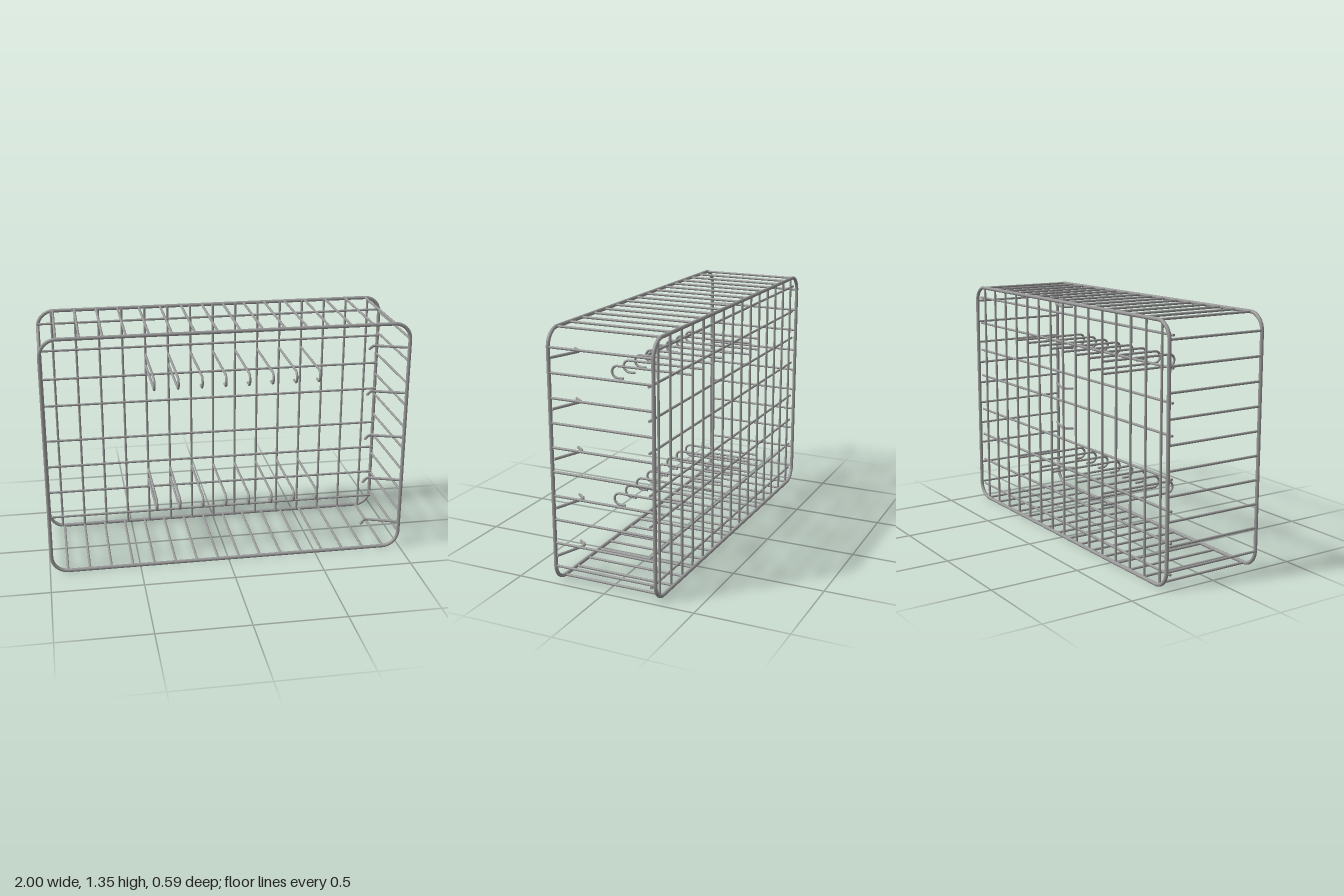
import * as THREE from 'three';

const HALF_W = 0.989, TOP = 1.338, BOTTOM = 0.011, DEPTH = 0.286, CORNER = 0.09;
const FRAME_R = 0.01, WIRE_R = 0.0067;
const UP = new THREE.Vector3(0, 1, 0);

export function createModel() {
  const model = new THREE.Group();
  model.name = 'wireBasket';
  const steel = new THREE.MeshStandardMaterial({ color: 0x999999 });
  steel.name = 'grey steel';

  const add = (parent, geometry, name) => {
    const mesh = new THREE.Mesh(geometry, steel);
    mesh.name = name;
    parent.add(mesh);
    return mesh;
  };

  const group = (name) => {
    const g = new THREE.Group();
    g.name = name;
    model.add(g);
    return g;
  };

  // Straight round wire between two points
  const wire = (parent, name, a, b, radius = WIRE_R) => {
    const p = new THREE.Vector3(...a), q = new THREE.Vector3(...b);
    const dir = q.clone().sub(p);
    const mesh = add(parent, new THREE.CylinderGeometry(radius, radius, dir.length(), 12), name);
    mesh.position.copy(p).add(q).multiplyScalar(0.5);
    mesh.quaternion.setFromUnitVectors(UP, dir.normalize());
  };

  // Front and back rounded rectangular frames
  for (const [name, z] of [['frontFrame', DEPTH], ['backFrame', -DEPTH]]) {
    const frame = group(name);
    const x = HALF_W - CORNER, y0 = BOTTOM + CORNER, y1 = TOP - CORNER;
    for (const y of [BOTTOM, TOP]) wire(frame, 'frameRail', [-x, y, z], [x, y, z], FRAME_R);
    for (const s of [-1, 1]) wire(frame, 'framePost', [s * HALF_W, y0, z], [s * HALF_W, y1, z], FRAME_R);
    [[x, y1], [-x, y1], [-x, y0], [x, y0]].forEach(([cx, cy], i) => {
      const bend = add(frame, new THREE.TorusGeometry(CORNER, FRAME_R, 12, 12, Math.PI / 2), 'frameCorner');
      bend.position.set(cx, cy, z);
      bend.rotation.z = i * Math.PI / 2;
    });
  }

  // Depth wires of the top and bottom panels
  const topPanel = group('topPanel'), bottomPanel = group('bottomPanel');
  for (let i = 0; i < 16; i++) {
    const x = -0.902 + i * 0.1203;
    wire(topPanel, 'topWire', [x, TOP, -DEPTH], [x, TOP, DEPTH]);
    wire(bottomPanel, 'bottomWire', [x, BOTTOM, -DEPTH], [x, BOTTOM, DEPTH]);
  }

  // Depth wires of both side panels
  for (const [name, s] of [['leftPanel', 1], ['rightPanel', -1]]) {
    const panel = group(name);
    for (let i = 0; i < 10; i++) {
      const y = 0.098 + i * 0.1282;
      wire(panel, 'sideWire', [s * HALF_W, y, -DEPTH], [s * HALF_W, y, DEPTH]);
    }
  }

  // Back grid: upright wires with cross wires in front of them
  const grid = group('backGrid');
  for (let i = -7; i <= 7; i++) {
    wire(grid, 'uprightWire', [i * 0.1303, BOTTOM, -0.272], [i * 0.1303, TOP, -0.272]);
  }
  for (const y of [0.08, 0.241, 0.405, 0.567, 0.783, 0.944, 1.113, 1.271]) {
    wire(grid, 'crossWire', [-HALF_W, y, -0.261], [HALF_W, y, -0.261]);
  }

  // Two rows of hooks; the two at the right end return all the way to the back
  const hookR = 0.0325, bendZ = 0.162;
  for (const [name, y] of [['upperHooks', 1.03], ['lowerHooks', 0.319]]) {
    const row = group(name);
    for (let i = -3; i <= 4; i++) {
      const x = i * 0.1303;
      wire(row, 'hookArm', [x, y + hookR, -0.272], [x, y + hookR, bendZ]);
      const bend = add(row, new THREE.TorusGeometry(hookR, WIRE_R, 12, 14, Math.PI), 'hookBend');
      bend.position.set(x, y, bendZ);
      bend.rotation.set(0, -Math.PI / 2, -Math.PI / 2, 'YXZ');
      const returnEnd = i < -1 ? -0.272 : bendZ - 0.035;
      wire(row, 'hookReturn', [x, y - hookR, returnEnd], [x, y - hookR, bendZ]);
    }
  }

  // Bent spring clips on the left front post
  const clips = group('clips'), clipR = 0.0075;
  const clipPath = new THREE.CurvePath();
  const a = new THREE.Vector3(HALF_W, 0, 0.277), b = new THREE.Vector3(0.835, 0, 0.222);
  const c = new THREE.Vector3(0.8, 0, 0.226), d = new THREE.Vector3(0.772, 0, 0.263);
  clipPath.add(new THREE.LineCurve3(a, b));
  clipPath.add(new THREE.QuadraticBezierCurve3(b, new THREE.Vector3(0.814, 0, 0.212), c));
  clipPath.add(new THREE.LineCurve3(c, d));
  const clipGeometry = new THREE.TubeGeometry(clipPath, 28, clipR, 12);
  for (let i = 0; i < 5; i++) {
    const y = 0.154 + i * 0.2613;
    add(clips, clipGeometry, 'clip').position.y = y;
    const tip = add(clips, new THREE.SphereGeometry(clipR, 12, 8), 'clipTip');
    tip.position.set(d.x, y, d.z);
  }
  return model;
}
